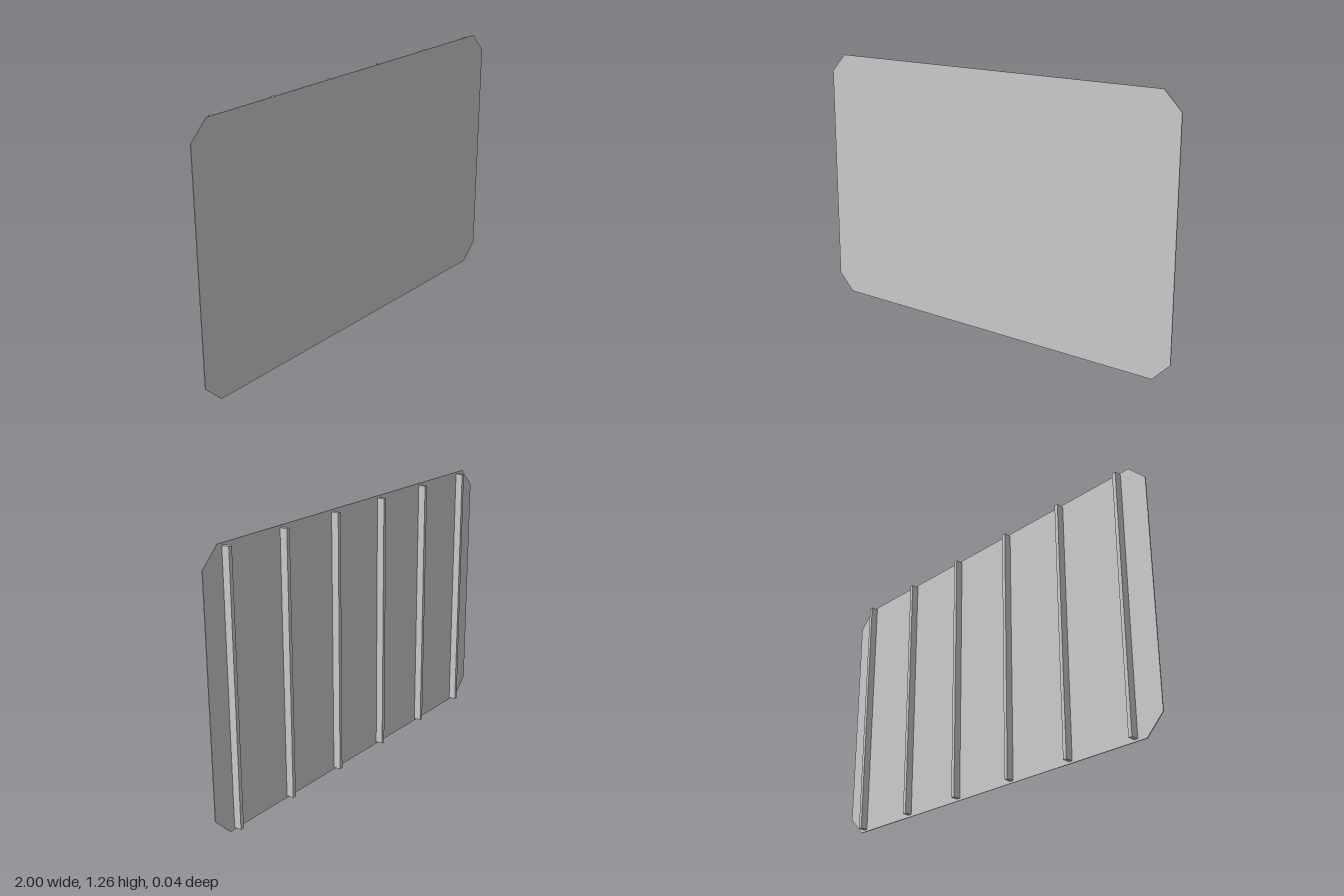
import * as THREE from 'three';

export function createModel() {
  const group = new THREE.Group();
  const material = new THREE.MeshStandardMaterial({ color: 0xcccccc, flatShading: true });
  const height = 1.26, cut = 0.087, panelBack = 0.016, depth = 0.02;

  // Thin panel with chamfered corners
  const outline = new THREE.Shape([
    [-1, cut], [-1 + cut, 0], [1 - cut, 0], [1, cut],
    [1, height - cut], [1 - cut, height], [-1 + cut, height], [-1, height - cut],
  ].map(([x, y]) => new THREE.Vector2(x, y)));
  const panel = new THREE.Mesh(
    new THREE.ExtrudeGeometry(outline, { depth: depth - panelBack, bevelEnabled: false }), material);
  panel.name = 'panel';
  panel.position.z = panelBack;
  group.add(panel);

  // Six upright ribs on the back, slightly shorter than the panel
  const ribGeometry = new THREE.BoxGeometry(0.018, height - 0.02, panelBack + depth);
  for (let i = 0; i < 6; i++) {
    const rib = new THREE.Mesh(ribGeometry, material);
    rib.name = `backRib${i + 1}`;
    rib.position.set(-0.859 + i * 0.3475, height / 2, (panelBack - depth) / 2);
    group.add(rib);
  }
  return group;
}
